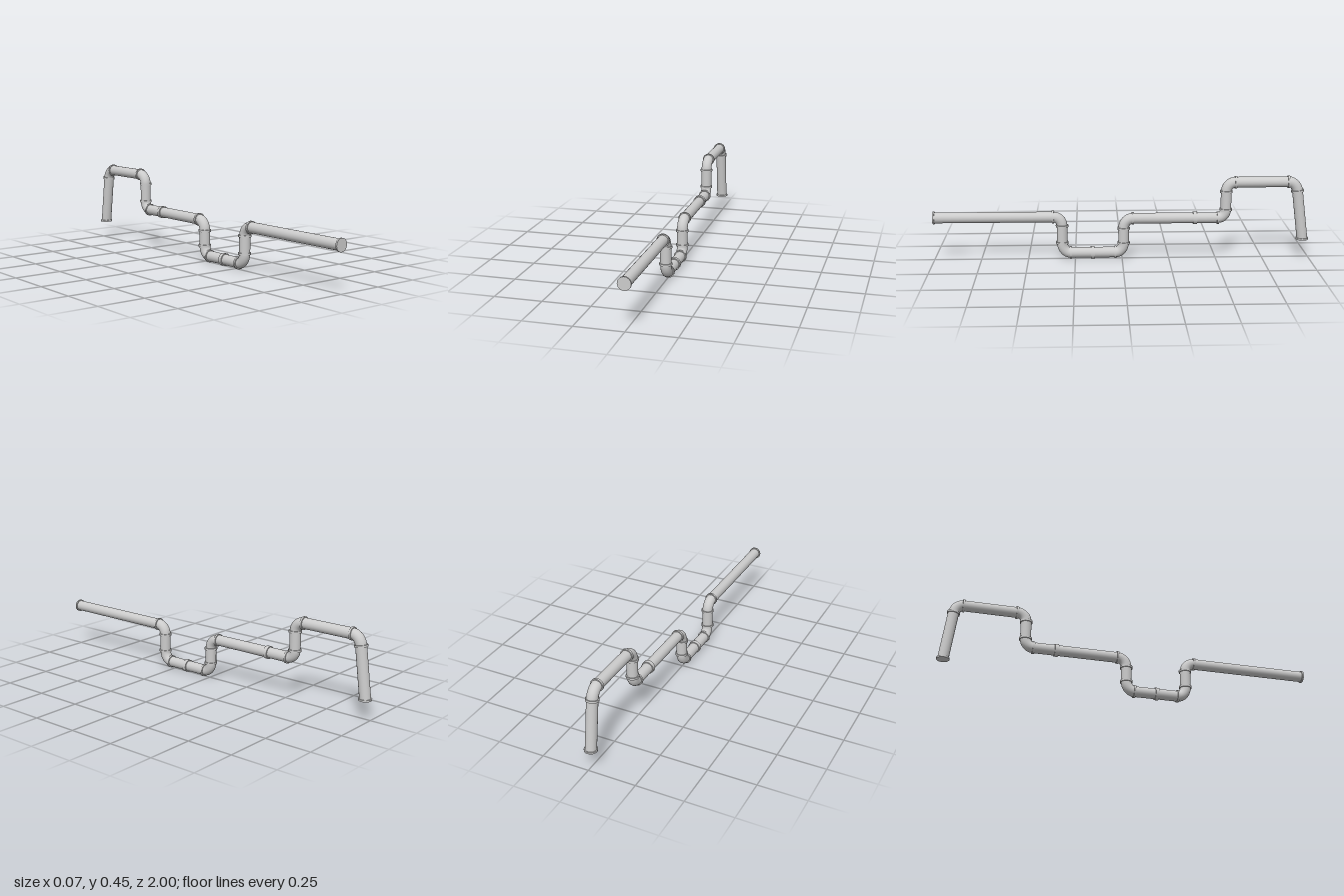
import * as THREE from 'three';

const PIPE_R = 0.0283, COLLAR_R = 0.0335, COLLAR_T = 0.011, SIDES = 24;
const P = (z, y) => new THREE.Vector3(0, y, z);

export function createModel() {
  const group = new THREE.Group();
  const material = new THREE.MeshStandardMaterial({ color: 0xcccccc, side: THREE.DoubleSide });
  const up = new THREE.Vector3(0, 1, 0);

  const add = (geometry, name) => {
    const mesh = new THREE.Mesh(geometry, material);
    mesh.name = name;
    group.add(mesh);
    return mesh;
  };

  // Cylinder centred at a point and aligned with a direction
  const rod = (name, centre, dir, radius, length, open = false) => {
    const mesh = add(new THREE.CylinderGeometry(radius, radius, length, SIDES, 1, open), name);
    mesh.position.copy(centre);
    mesh.quaternion.setFromUnitVectors(up, dir);
  };

  // Straight pipe between two points
  const pipe = (a, b) => {
    const dir = b.clone().sub(a);
    const length = dir.length();
    rod('pipe', a.clone().lerp(b, 0.5), dir.normalize(), PIPE_R, length, true);
  };

  // Rounded bend from a to b around a corner
  const elbow = (a, corner, b) => {
    const curve = new THREE.CubicBezierCurve3(
      a, a.clone().lerp(corner, 0.552), b.clone().lerp(corner, 0.552), b);
    add(new THREE.TubeGeometry(curve, 8, PIPE_R, SIDES), 'elbow');
  };

  // Pipe route: ends and corners, with the bend setback before and after each corner
  const route = [
    { p: P(0.995, 0.231) },
    { p: P(0.319, 0.231), before: 0.048, after: 0.049 },
    { p: P(0.319, 0.034), before: 0.056, after: 0.045 },
    { p: P(-0.008, 0.034), before: 0.043, after: 0.052 },
    { p: P(-0.008, 0.22), before: 0.054, after: 0.049 },
    { p: P(-0.552, 0.22), before: 0.042, after: 0.045 },
    { p: P(-0.552, 0.413), before: 0.05, after: 0.05 },
    { p: P(-0.925, 0.413), before: 0.042, after: 0.05 },
    { p: P(-0.9665, 0.103) },
  ];

  let start = route[0].p;
  for (let i = 1; i < route.length; i++) {
    const { p, before = 0, after } = route[i];
    const dir = p.clone().sub(route[i - 1].p).normalize();
    const end = p.clone().addScaledVector(dir, -before);
    pipe(start, end);
    if (!after) break;
    const next = route[i + 1].p.clone().sub(p).normalize();
    const exit = p.clone().addScaledVector(next, after);
    elbow(end, p, exit);
    rod('elbowCollar', end, dir, COLLAR_R, COLLAR_T);
    rod('elbowCollar', exit, next, COLLAR_R, COLLAR_T);
    start = exit;
  }

  // Wide couplings along the two middle runs
  const zAxis = new THREE.Vector3(0, 0, 1);
  for (const c of [P(0.157, 0.034), P(-0.388, 0.22)]) {
    rod('coupling', c, zAxis, COLLAR_R, 0.021);
  }

  // Closed end flanges
  rod('frontFlange', P(0.9955, 0.231), zAxis, COLLAR_R, 0.009);
  rod('rearFlange', P(-0.9665, 0.1015), up, COLLAR_R, 0.009);

  return group;
}
